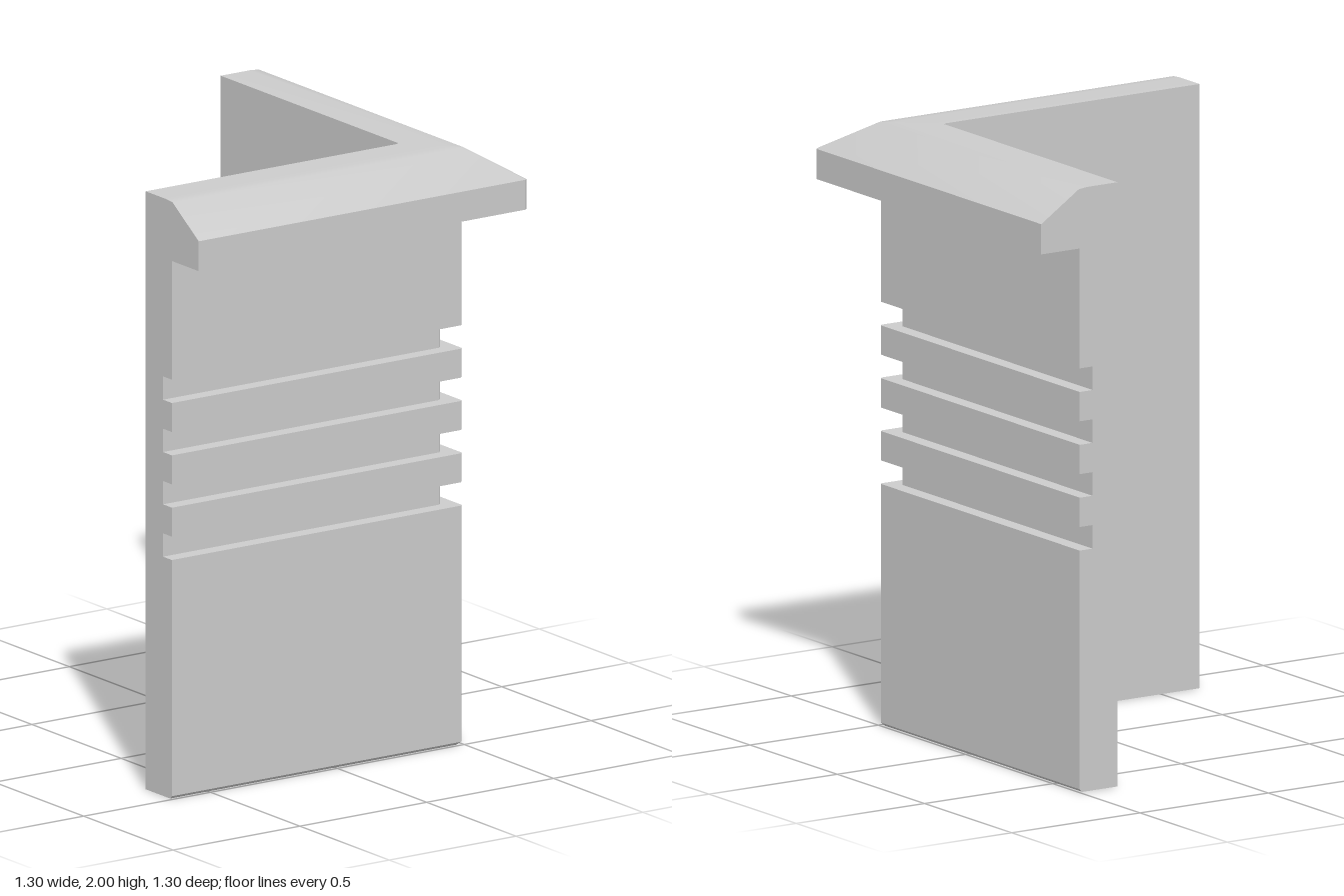
import * as THREE from 'three';
import { toCreasedNormals } from 'three/addons/utils/BufferGeometryUtils.js';

const END = -0.65;      // free ends of both legs
const CHAMFER = 0.008;  // tiny bevel at the corner

// Sweeps a closed (distance, height) profile around the right-angled corner.
function sweepCorner(profile) {
  const n = profile.length;
  const positions = [];
  const index = [];
  for (let s = 0; s < 4; s++) {
    for (const [d, y] of profile) {
      const x = [END, d - CHAMFER, d, d][s];
      const z = [d, d, d - CHAMFER, END][s];
      positions.push(x, y, z);
    }
  }
  for (let s = 0; s < 3; s++) {
    for (let i = 0; i < n; i++) {
      const j = (i + 1) % n;
      const a = s * n + i, b = (s + 1) * n + i;
      const c = (s + 1) * n + j, d = s * n + j;
      index.push(a, b, c, a, c, d);
    }
  }
  // flat ends of the two legs
  const contour = profile.map(([d, y]) => new THREE.Vector2(d, y));
  for (const [a, b, c] of THREE.ShapeUtils.triangulateShape(contour, [])) {
    index.push(a, b, c, 3 * n + a, 3 * n + c, 3 * n + b);
  }
  const geometry = new THREE.BufferGeometry();
  geometry.setAttribute('position', new THREE.Float32BufferAttribute(positions, 3));
  geometry.setIndex(index);
  return toCreasedNormals(geometry, 0.62);
}

export function createModel() {
  const group = new THREE.Group();
  group.name = 'cornerWall';
  const material = new THREE.MeshStandardMaterial({ color: 0xcccccc });

  const addPart = (name, profile) => {
    const mesh = new THREE.Mesh(sweepCorner(profile), material);
    mesh.name = name;
    group.add(mesh);
  };

  // Wall with four horizontal grooves on its outer face
  const inner = 0.35, outer = 0.497, grooveDepth = 0.447;
  const wall = [[inner, 0], [outer - 0.01, 0], [outer, 0.01]];
  for (let i = 0; i < 4; i++) {
    const y = 0.8 + i * 0.175;
    wall.push([outer, y], [grooveDepth, y], [grooveDepth, y + 0.078], [outer, y + 0.078]);
  }
  wall.push([outer, 1.8], [inner, 1.8]);
  addPart('groovedWall', wall);

  // Overhanging coping with a sloped outer top and a softened ridge
  addPart('coping', [
    [inner, 1.8], [0.647, 1.8], [0.647, 1.9],
    [0.5, 1.997], [0.465, 2], [inner, 2],
  ]);

  return group;
}
